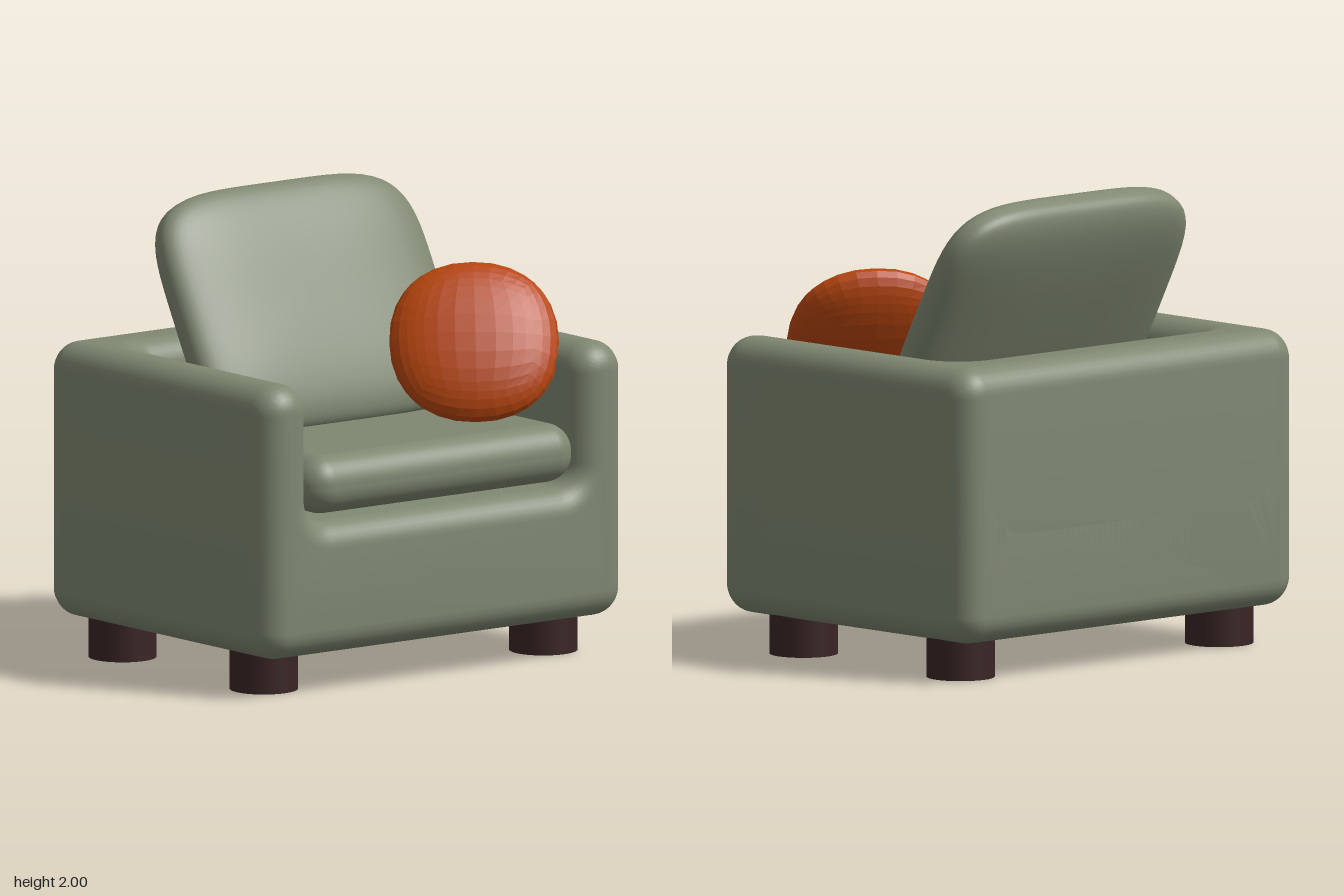
import * as THREE from 'three';
import { mergeVertices, toCreasedNormals } from 'three/addons/utils/BufferGeometryUtils.js';
import { RoundedBoxGeometry } from 'three/addons/geometries/RoundedBoxGeometry.js';

const WIDTH = 0.985;  // half width of the frame
const INNER = 0.73;   // half width between the arms
const BEVEL = 0.115;

// U-shaped slab with rounded edges: two prongs of height h above a floor at f
function roundedU(h, f, depth) {
  const w = WIDTH, i = INNER, r = 0.125, q = 0.1, P = Math.PI;
  const s = new THREE.Shape();
  s.absarc(w - r, r, r, -P / 2, 0);
  s.absarc(w - r, h - r, r, 0, P / 2);
  s.absarc(i + r, h - r, r, P / 2, P);
  s.absarc(i - q, f + q, q, 0, -P / 2, true);
  s.absarc(-i + q, f + q, q, -P / 2, -P, true);
  s.absarc(-i - r, h - r, r, 0, P / 2);
  s.absarc(-w + r, h - r, r, P / 2, P);
  s.absarc(-w + r, r, r, P, 1.5 * P);
  s.closePath();
  const geo = new THREE.ExtrudeGeometry(s, {
    depth: depth - 2 * BEVEL, curveSegments: 8,
    bevelThickness: BEVEL, bevelSize: BEVEL, bevelOffset: -BEVEL, bevelSegments: 8,
  });
  return toCreasedNormals(geo, 0.7);
}

// Puffy cushion: a box pulled onto a superellipsoid (n = outline, m = thickness)
function puff(hx, hy, hz, n, m, seg) {
  let geo = new THREE.BoxGeometry(2, 2, 2, seg, seg, seg);
  geo.deleteAttribute('normal');
  geo.deleteAttribute('uv');
  geo = mergeVertices(geo);
  const p = geo.attributes.position;
  for (let k = 0; k < p.count; k++) {
    const [x, y, z] = [p.getX(k), p.getY(k), p.getZ(k)];
    const outline = (Math.abs(x) ** n + Math.abs(y) ** n) ** (m / n);
    const d = (outline + Math.abs(z) ** m) ** (1 / m);
    p.setXYZ(k, x / d * hx, y / d * hy, z / d * hz);
  }
  geo.computeVertexNormals();
  return geo;
}

export function createModel() {
  const model = new THREE.Group();
  model.name = 'armchair';
  const fabric = new THREE.MeshStandardMaterial({ color: 0x7f8872 });
  fabric.name = 'sage fabric';
  const orange = new THREE.MeshStandardMaterial({ color: 0xb8460f });
  orange.name = 'orange fabric';
  orange.flatShading = true;
  const wood = new THREE.MeshStandardMaterial({ color: 0x3a2525 });
  wood.name = 'dark wood';

  const add = (name, geo, mat, x, y, z) => {
    const mesh = new THREE.Mesh(geo, mat);
    mesh.name = name;
    mesh.position.set(x, y, z);
    model.add(mesh);
    return mesh;
  };

  // Base with arms, then backrest wall wrapping into the same arms
  add('baseAndArms', roundedU(1.195, 0.58, 1.565), fabric, 0, 0.17, -0.79 + BEVEL);
  add('backAndArms', roundedU(1.565, 0.325, 1.195).rotateX(Math.PI / 2), fabric, 0, 1.365 - BEVEL, -0.79);

  // Seat and leaning back cushion
  add('seatCushion', new RoundedBoxGeometry(1.46, 0.255, 1.25, 8, 0.12), fabric, -0.01, 0.907, 0.163);
  const back = add('backCushion', puff(0.7, 0.555, 0.132, 4.5, 3, 20), fabric, -0.018, 1.5, -0.185);
  back.rotation.x = THREE.MathUtils.degToRad(-28);

  // Faceted throw pillow resting against the left arm
  const pillow = add('throwPillow', puff(0.365, 0.365, 0.13, 2.2, 2, 8), orange, 0.485, 1.353, 0.335);
  pillow.lookAt(0.485 - 0.5, 1.353 + 0.5, 0.335 + 0.705);

  // Legs
  for (const x of [-0.762, 0.762])
    for (const [name, z] of [['frontLeg', 0.463], ['backLeg', -0.52]])
      add(name, new THREE.CylinderGeometry(0.147, 0.147, 0.2, 32), wood, x, 0.1, z);

  return model;
}
